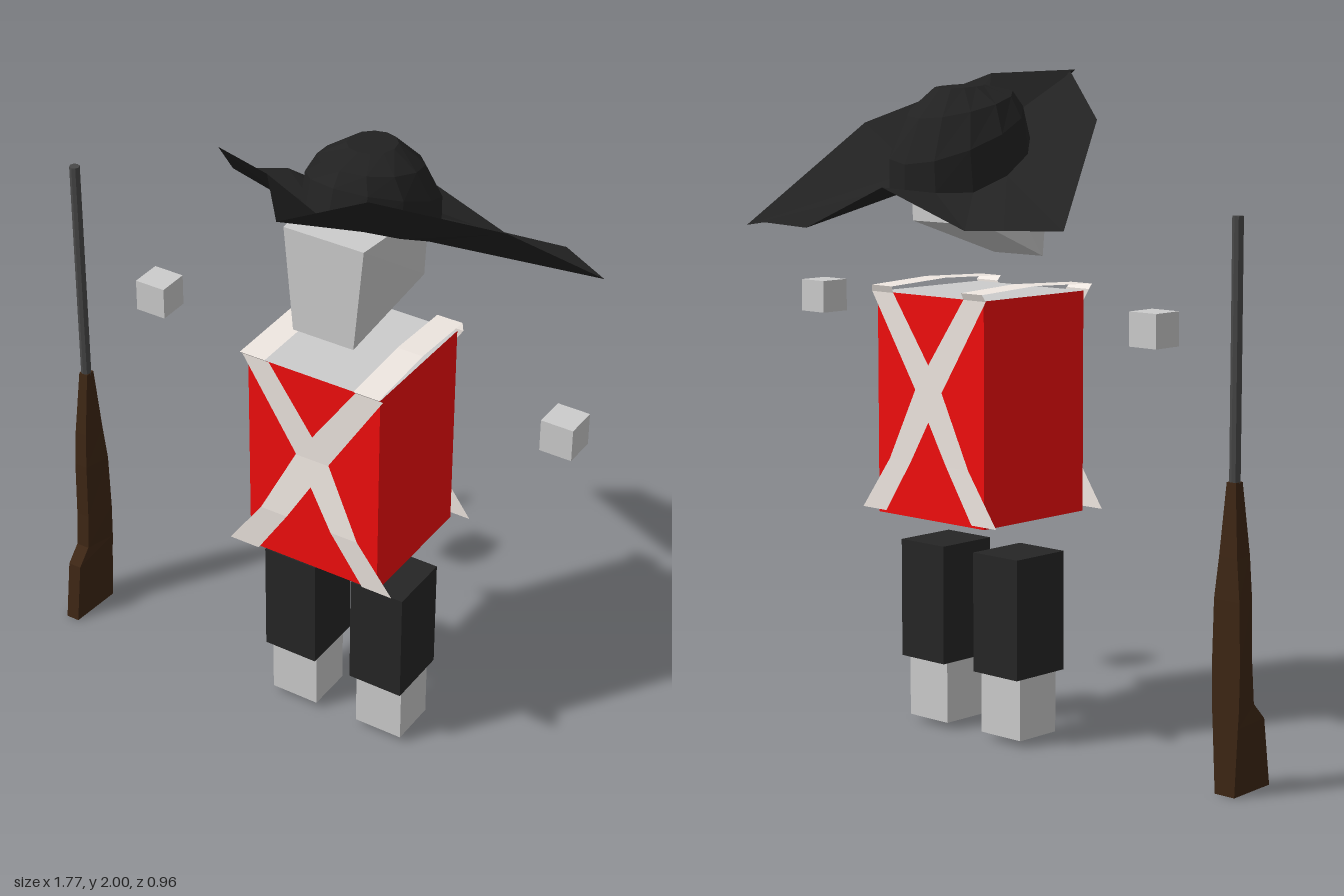
import * as THREE from 'three';

const mat = (color, side = THREE.FrontSide) =>
  new THREE.MeshStandardMaterial({ color, side, flatShading: true });
const grey = mat(0xcccccc);
const red = mat(0xf20d0d);
const black = mat(0x252525);
const felt = mat(0x222222, THREE.DoubleSide);
const wood = mat(0x3d2614);
const steel = mat(0x484848);
const webbing = mat(0xeee6e0, THREE.DoubleSide);

const MID = 0.15; // x of the figure's centre line

function add(parent, name, geometry, material, x = 0, y = 0, z = 0) {
  const mesh = new THREE.Mesh(geometry, material);
  mesh.name = name;
  mesh.position.set(x, y, z);
  parent.add(mesh);
  return mesh;
}

// Box given by its low and high corners
function box(parent, name, [x0, y0, z0], [x1, y1, z1], material) {
  return add(parent, name, new THREE.BoxGeometry(x1 - x0, y1 - y0, z1 - z0), material,
    (x0 + x1) / 2, (y0 + y1) / 2, (z0 + z1) / 2);
}

// Faceted skin over cross-sections; rings run counter-clockwise seen from the end
function loft(rings, closed = true, capped = true) {
  const pos = [];
  const tri = (a, b, c) => pos.push(...a, ...b, ...c);
  const n = rings[0].length;
  for (let i = 0; i < rings.length - 1; i++) {
    for (let j = 0; j < (closed ? n : n - 1); j++) {
      const k = (j + 1) % n;
      tri(rings[i][j], rings[i][k], rings[i + 1][k]);
      tri(rings[i][j], rings[i + 1][k], rings[i + 1][j]);
    }
  }
  if (capped) {
    const first = rings[0], last = rings[rings.length - 1];
    for (let j = 1; j < n - 1; j++) {
      tri(first[0], first[j + 1], first[j]);
      tri(last[0], last[j], last[j + 1]);
    }
  }
  const g = new THREE.BufferGeometry();
  g.setAttribute('position', new THREE.Float32BufferAttribute(pos, 3));
  g.computeVertexNormals();
  return g;
}

function makeHat() {
  const hat = new THREE.Group();
  hat.name = 'hat';
  // Three-cornered brim edge, from the front tip round the left side
  const edge = [
    [0.20, 2.0, 0.48], [0.34, 1.99, 0.25], [0.61, 1.84, -0.03], [0.73, 1.54, -0.41],
    [0.57, 1.56, -0.48], [0.42, 1.55, -0.45], [0.12, 1.68, -0.43], [-0.18, 1.57, -0.40],
    [-0.34, 1.58, -0.41], [-0.48, 1.58, -0.32], [-0.29, 1.87, 0.03], [0.04, 2.0, 0.28],
  ];
  // Tilted ellipse: radii, centre z, height at the centre, slope along z
  const ring = (rx, rz, cz, y, slope, low = 0) => edge.map((_, j) => {
    const a = Math.PI / 2 - j * Math.PI / 6;
    const dz = rz * Math.sin(a);
    return [MID + rx * Math.cos(a), Math.max(low, y + slope * dz), cz + dz];
  });
  const base = ring(0.19, 0.23, -0.08, 1.705, 0.5, 1.66);
  add(hat, 'brim', loft([edge, base], true, false), felt);
  add(hat, 'crown', loft([
    base,
    ring(0.185, 0.215, -0.095, 1.825, 0.4),
    ring(0.145, 0.17, -0.08, 1.91, 0.24),
    ring(0.07, 0.08, -0.085, 1.96, 0.07),
  ]), felt);
  return hat;
}

function makeGun() {
  const gun = new THREE.Group();
  gun.name = 'longGun';
  gun.position.x = -0.84;
  // Stock sections: height, back half width, front half width, back z, front z
  const sections = [
    [0, 0.035, 0.022, -0.04, 0.135],
    [0.2, 0.045, 0.022, -0.04, 0.108],
    [0.25, 0.048, 0.022, -0.04, 0.06],
    [0.37, 0.05, 0.022, -0.04, 0.05],
    [0.56, 0.045, 0.022, -0.04, 0.045],
    [0.68, 0.032, 0.02, -0.036, 0.036],
    [0.89, 0.016, 0.015, -0.026, 0.006],
  ];
  add(gun, 'stock', loft(sections.map(([y, wb, wf, zb, zf]) =>
    [[-wf, y, zf], [wf, y, zf], [wb, y, zb], [-wb, y, zb]])), wood);
  add(gun, 'barrel', new THREE.CylinderGeometry(0.016, 0.016, 0.78, 8), steel, 0, 1.235, -0.01);
  return gun;
}

export function createModel() {
  const model = new THREE.Group();
  model.name = 'soldier';

  // Torso: red coat with plain top and bottom
  box(model, 'torso', [-0.07, 0.68, -0.21], [0.37, 1.35, 0.22], [red, red, grey, grey, red, red]);

  // Head tapers towards the chin and face
  add(model, 'head', loft([
    [[0.0, 1.56, -0.13], [0.3, 1.56, -0.13], [0.31, 1.78, -0.13], [-0.01, 1.78, -0.13]],
    [[0.05, 1.45, 0.17], [0.25, 1.45, 0.17], [0.28, 1.775, 0.17], [0.02, 1.775, 0.17]],
  ]), grey);

  for (const s of [-1, 1]) {
    const side = s > 0 ? 'left' : 'right';
    // Limbs
    const leg = MID + s * 0.153;
    box(model, side + 'Leg', [leg - 0.09, 0.21, -0.095], [leg + 0.09, 0.575, 0.11], black);
    box(model, side + 'Foot', [leg - 0.08, 0.02, -0.07], [leg + 0.08, 0.21, 0.085], grey);
    const hand = MID + s * 0.685;
    box(model, side + 'Hand', [hand - 0.05, 1.24, -0.05], [hand + 0.05, 1.34, 0.05], grey);

    // Cross strap: up the front, over the shoulder, down the back
    const lift = s > 0 ? 0.002 : 0;
    const path = [
      [-0.23, 0.69, 0.238, 0.05], [-0.12, 0.85, 0.245, 0.045], [0, 1.07, 0.226, 0.055],
      [0.19, 1.355, 0.228, 0.045], [0.19, 1.37, 0.245, 0.042], [0.185, 1.38, 0.0, 0.042],
      [0.185, 1.37, -0.225, 0.042], [0.19, 1.35, -0.217, 0.045], [0, 1.07, -0.217, 0.055],
      [-0.12, 0.85, -0.218, 0.045], [-0.23, 0.69, -0.22, 0.05],
    ];
    add(model, side + 'Strap', loft(path.map(([x, y, z, w]) => {
      const zz = z + Math.sign(z) * lift;
      return [[MID + s * x - w, y, zz], [MID + s * x + w, y, zz]];
    }), false, false), webbing);
  }

  model.add(makeHat(), makeGun());
  return model;
}
